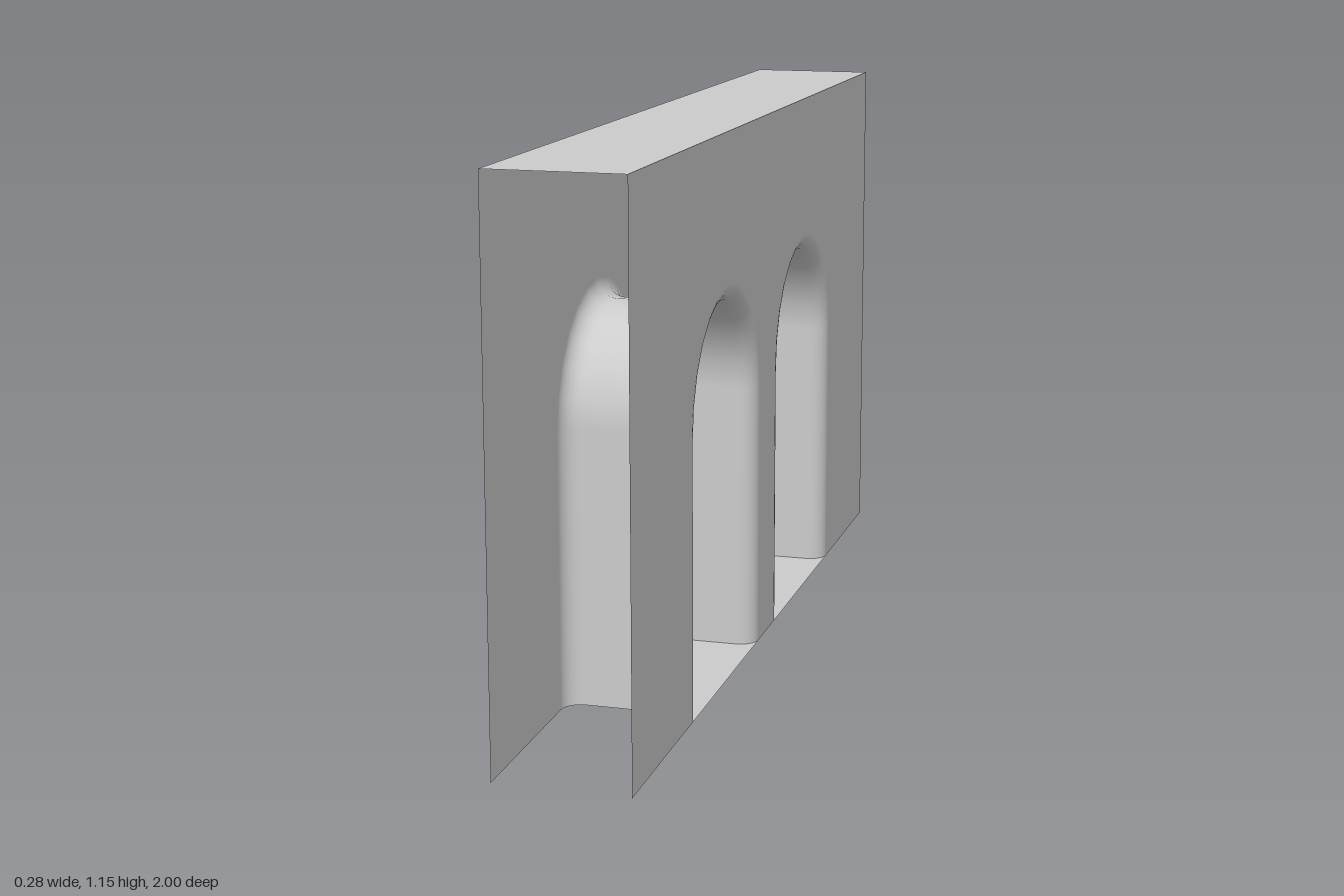
import * as THREE from 'three';

const HALF_T = 0.138, HEIGHT = 1.15, HALF_L = 1; // wall size
const ARCH_Z = 0.334, ARCH_R = 0.225, SPRING = 0.575; // arch opening
const FILLET = 0.04, ARCH_SEGS = 12, FILLET_SEGS = 6;

const material = new THREE.MeshStandardMaterial({ color: 0xcccccc, side: THREE.DoubleSide });

function addMesh(parent, name, geometry) {
  const mesh = new THREE.Mesh(geometry, material);
  mesh.name = name;
  parent.add(mesh);
  return mesh;
}

// Opening outline from the +z foot over the arch to the -z foot: z, y and outward direction
function archPath(radius) {
  const path = [{ z: radius, y: 0, c: 1, s: 0 }];
  for (let i = 0; i <= ARCH_SEGS; i++) {
    const a = (Math.PI * i) / ARCH_SEGS, c = Math.cos(a), s = Math.sin(a);
    path.push({ z: radius * c, y: SPRING + radius * s, c, s });
  }
  path.push({ z: -radius, y: 0, c: -1, s: 0 });
  return path;
}

// Section through the lining: x, offset from the opening, and normal
function liningProfile() {
  const half = [];
  for (let i = 0; i <= FILLET_SEGS; i++) {
    const a = (Math.PI / 2) * (i / FILLET_SEGS), c = Math.cos(a), s = Math.sin(a);
    half.push({ x: -(HALF_T - FILLET) - FILLET * c, d: FILLET * (1 - s), nx: -c, nd: -s });
  }
  return [...half, ...half.slice().reverse().map(p => ({ ...p, x: -p.x, nx: -p.nx }))];
}

// Rounded lining swept along the arch
function liningGeometry() {
  const pos = [], nor = [], idx = [];
  const profile = liningProfile(), n = ARCH_SEGS + 3;
  for (const p of profile) {
    for (const q of archPath(ARCH_R + p.d)) {
      pos.push(p.x, q.y, q.z);
      nor.push(p.nx, p.nd * q.s, p.nd * q.c);
    }
  }
  for (let i = 0; i < profile.length - 1; i++) {
    for (let j = 0; j < n - 1; j++) {
      const a = i * n + j, b = a + 1, c = a + n, d = c + 1;
      idx.push(a, b, c, b, d, c);
    }
  }
  const g = new THREE.BufferGeometry();
  g.setAttribute('position', new THREE.Float32BufferAttribute(pos, 3));
  g.setAttribute('normal', new THREE.Float32BufferAttribute(nor, 3));
  g.setIndex(idx);
  return g;
}

// Flat wall face with both openings cut up from the bottom edge
function wallGeometry() {
  const s = new THREE.Shape();
  s.moveTo(-HALF_L, 0);
  for (const centre of [-ARCH_Z, ARCH_Z]) {
    for (const p of archPath(ARCH_R + FILLET).reverse()) s.lineTo(centre + p.z, p.y);
  }
  s.lineTo(HALF_L, 0);
  s.lineTo(HALF_L, HEIGHT);
  s.lineTo(-HALF_L, HEIGHT);
  return new THREE.ShapeGeometry(s);
}

// Floor of an opening, flared to meet the rounded jambs
function floorGeometry() {
  const profile = liningProfile();
  const pts = profile.map(p => new THREE.Vector2(p.x, -(ARCH_R + p.d)));
  for (const p of profile.slice().reverse()) pts.push(new THREE.Vector2(p.x, ARCH_R + p.d));
  return new THREE.ShapeGeometry(new THREE.Shape(pts)).rotateX(-Math.PI / 2);
}

export function createModel() {
  const model = new THREE.Group();
  model.name = 'archedWall';

  // Two side faces; the ends and pier bottoms stay open
  for (const side of [-1, 1]) {
    const wall = addMesh(model, side > 0 ? 'leftWallFace' : 'rightWallFace',
      wallGeometry().rotateY((side * Math.PI) / 2));
    wall.position.x = side * HALF_T;
  }

  // Top
  const top = addMesh(model, 'wallTop',
    new THREE.PlaneGeometry(2 * HALF_T, 2 * HALF_L).rotateX(-Math.PI / 2));
  top.position.y = HEIGHT;

  // Two arched openings
  for (const side of [-1, 1]) {
    const arch = new THREE.Group();
    arch.name = side > 0 ? 'frontArch' : 'backArch';
    addMesh(arch, 'archLining', liningGeometry());
    addMesh(arch, 'archFloor', floorGeometry());
    arch.position.z = side * ARCH_Z;
    model.add(arch);
  }
  return model;
}
